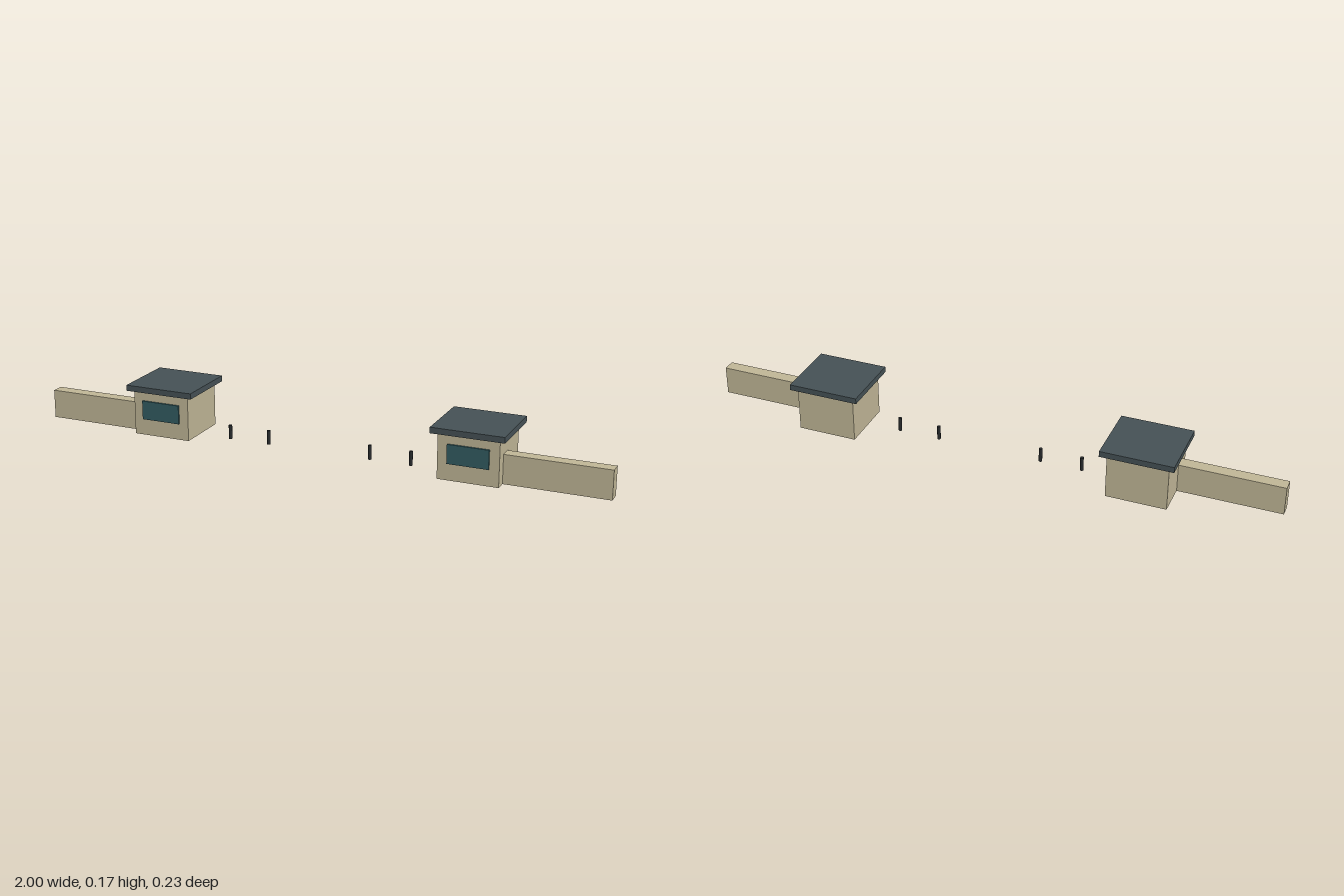
import * as THREE from 'three';

const stone = new THREE.MeshStandardMaterial({ color: 0xc2b898 });
const slate = new THREE.MeshStandardMaterial({ color: 0x465256 });
const glass = new THREE.MeshStandardMaterial({ color: 0x335c62 });
const dark = new THREE.MeshStandardMaterial({ color: 0x26292b });

// Box given by its extents on each axis
function box(name, material, [x0, x1], [y0, y1], [z0, z1]) {
  const mesh = new THREE.Mesh(new THREE.BoxGeometry(x1 - x0, y1 - y0, z1 - z0), material);
  mesh.position.set((x0 + x1) / 2, (y0 + y1) / 2, (z0 + z1) / 2);
  mesh.name = name;
  return mesh;
}

// Extents on x for one side, mirrored when side is -1
const span = (side, a, b) => (side > 0 ? [a, b] : [-b, -a]);

function gateSide(side) {
  const group = new THREE.Group();
  group.name = side > 0 ? 'leftGateSide' : 'rightGateSide';

  // Gatehouse with overhanging flat roof and front window
  group.add(box('gatehouse', stone, span(side, 0.445, 0.65), [0, 0.155], [-0.098, 0.098]));
  group.add(box('roof', slate, span(side, 0.424, 0.67), [0.155, 0.175], [-0.115, 0.115]));
  group.add(box('window', glass, span(side, 0.478, 0.617), [0.057, 0.122], [0.094, 0.104]));

  // Boundary wall
  group.add(box('boundaryWall', stone, span(side, 0.65, 1), [0, 0.099], [0.016, 0.059]));

  // Bollards in the roadway
  for (const x of [0.183, 0.327]) {
    const bollard = new THREE.Mesh(new THREE.CylinderGeometry(0.006, 0.006, 0.049, 12), dark);
    bollard.position.set(side * x, 0.0245, 0.016);
    bollard.name = 'bollard';
    group.add(bollard);
  }
  return group;
}

export function createModel() {
  const model = new THREE.Group();
  model.name = 'gateway';
  for (const side of [-1, 1]) model.add(gateSide(side));
  return model;
}
